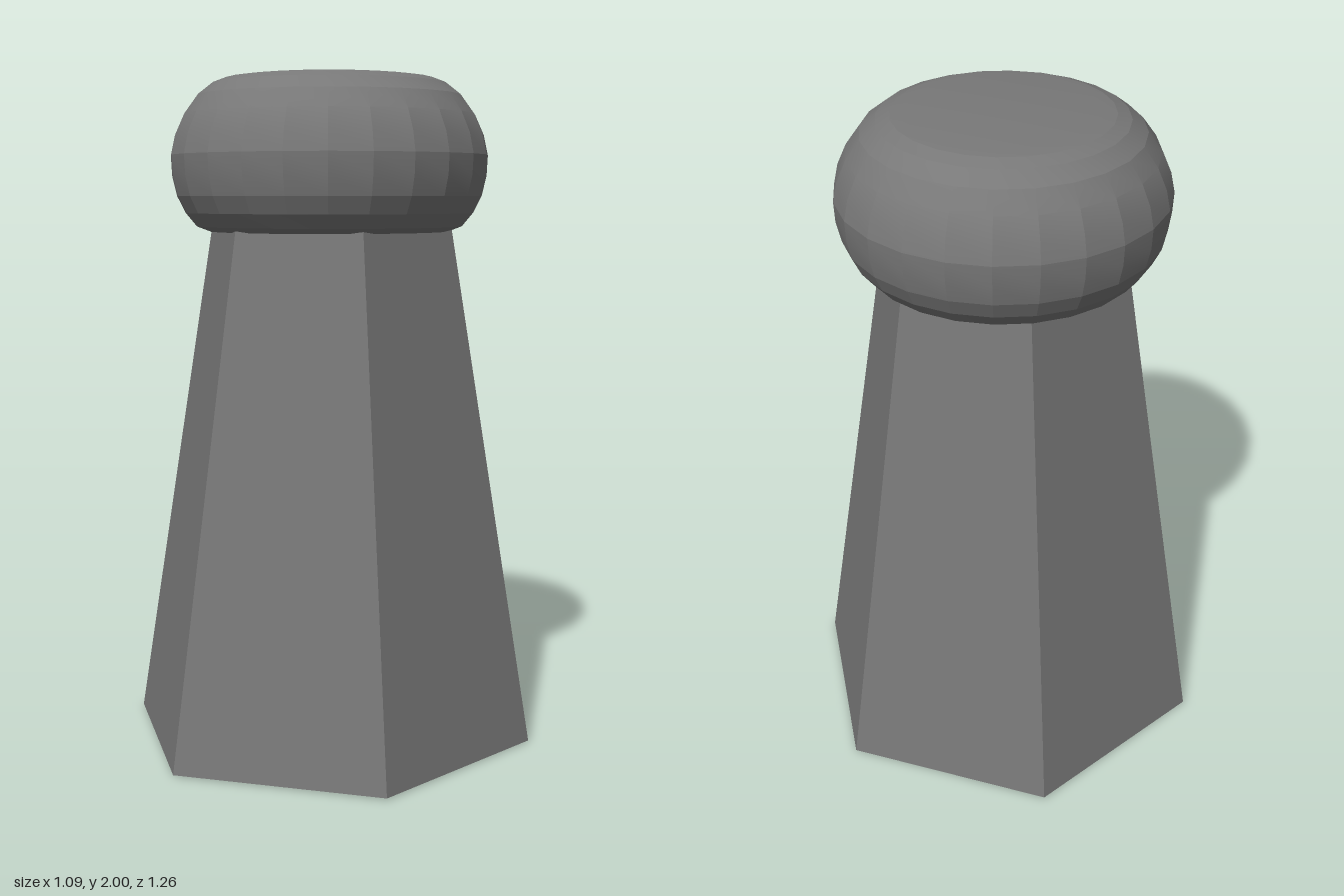
import * as THREE from 'three';
import { toCreasedNormals } from 'three/addons/utils/BufferGeometryUtils.js';

export function createModel() {
  const group = new THREE.Group();
  const grey = new THREE.MeshStandardMaterial({ color: 0x787878 });
  grey.name = 'stone grey';
  const tan = new THREE.MeshStandardMaterial({ color: 0xbfae96 });
  tan.name = 'felt tan';

  const add = (name, geometry, material, y = 0) => {
    const mesh = new THREE.Mesh(geometry, material);
    mesh.name = name;
    mesh.position.y = y;
    group.add(mesh);
  };

  // Tapered hexagonal body with corners on the z axis
  const bottomY = 0.004, topY = 1.6;
  const body = new THREE.CylinderGeometry(0.367, 0.63, topY - bottomY, 6);
  add('body', toCreasedNormals(body, 0.3), grey, (topY + bottomY) / 2);

  // Thin pad under the body, slightly inset
  add('basePad', toCreasedNormals(new THREE.CylinderGeometry(0.617, 0.617, 0.005, 6), 0.3), tan, 0.0025);

  // Rounded cap with a flat top
  const profile = [
    [0, 1.545], [0.36, 1.545], [0.4, 1.56], [0.433, 1.6], [0.458, 1.65],
    [0.472, 1.71], [0.475, 1.77], [0.462, 1.83], [0.435, 1.89], [0.395, 1.945],
    [0.35, 1.98], [0.31, 1.995], [0.27, 2], [0, 2],
  ].map(([r, y]) => new THREE.Vector2(r, y));
  add('cap', toCreasedNormals(new THREE.LatheGeometry(profile, 24), 0.22), grey);

  return group;
}
